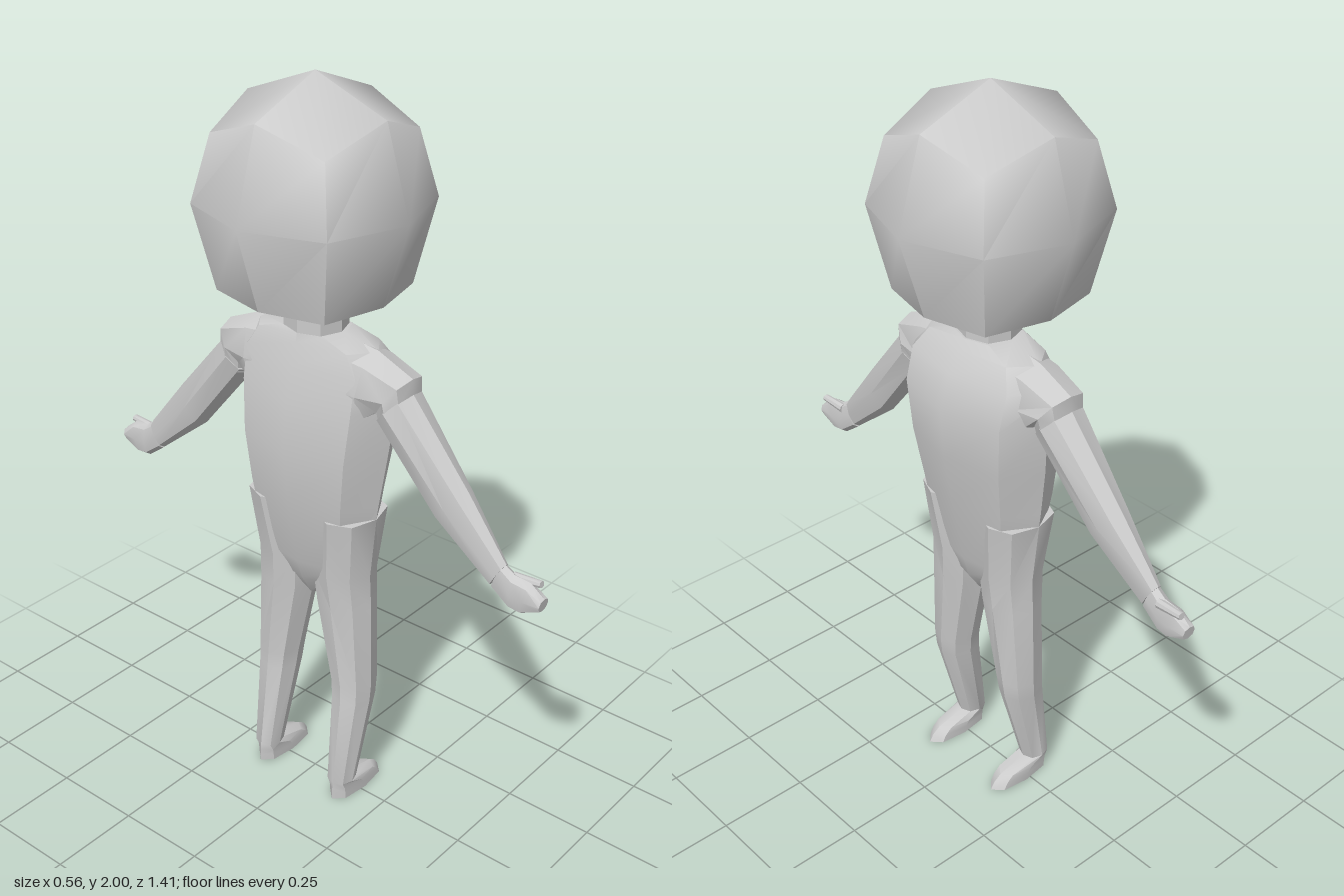
import * as THREE from 'three';
import { toCreasedNormals } from 'three/addons/utils/BufferGeometryUtils.js';

const material = new THREE.MeshStandardMaterial({ color: 0xcccccc });

// Eight-sided section between points a and b (each [y, z]), reaching from xb to xf; k is corner fullness.
function ring(a, b, xb, xf, k = 0.74) {
  const cy = (a[0] + b[0]) / 2, cz = (a[1] + b[1]) / 2, cx = (xb + xf) / 2;
  const hy = (b[0] - a[0]) / 2, hz = (b[1] - a[1]) / 2, hx = (xf - xb) / 2;
  const dirs = [[1, 0], [k, k], [0, 1], [-k, k], [-1, 0], [-k, -k], [0, -1], [k, -k]];
  return dirs.map(([u, v]) => [cx + hx * u, cy + hy * v, cz + hz * v]);
}

// Skin a series of rings, cap both ends with fans and turn all faces outward.
function loft(name, rings, crease, tips = []) {
  const n = rings[0].length, pts = rings.flat(), tris = [];
  for (let r = 0; r < rings.length - 1; r++) {
    for (let i = 0; i < n; i++) {
      const a = r * n + i, b = r * n + (i + 1) % n;
      tris.push([a, a + n, b], [b, a + n, b + n]);
    }
  }
  [0, rings.length - 1].forEach((r, end) => {
    const mid = tips[end] || [0, 1, 2].map((c) => rings[r].reduce((s, p) => s + p[c], 0) / n);
    const m = pts.push(mid) - 1;
    for (let i = 0; i < n; i++) {
      const a = r * n + i, b = r * n + (i + 1) % n;
      tris.push(end ? [a, m, b] : [b, m, a]);
    }
  });
  const v = pts.map((p) => new THREE.Vector3(...p));
  const volume = tris.reduce((s, [a, b, c]) => s + v[a].dot(v[b].clone().cross(v[c])), 0);
  if (volume < 0) tris.forEach((t) => t.reverse());
  const geometry = new THREE.BufferGeometry().setFromPoints(v);
  geometry.setIndex(tris.flat());
  const mesh = new THREE.Mesh(toCreasedNormals(geometry, crease), material);
  mesh.name = name;
  return mesh;
}

// Head ring alternating between axis and diagonal points.
function headRing(axisR, axisY, diagR, diagY) {
  return Array.from({ length: 8 }, (_, i) => {
    const t = i * Math.PI / 4, r = i % 2 ? diagR : axisR;
    return [r * Math.cos(t), i % 2 ? diagY : axisY, r * Math.sin(t)];
  });
}

export function createModel() {
  const group = new THREE.Group();

  // Head: rounded cube with a flatter underside
  group.add(loft('head', [
    headRing(0.08, 1.42, 0.08, 1.42),
    headRing(0.21, 1.47, 0.24, 1.47),
    headRing(0.28, 1.69, 0.296, 1.69),
    headRing(0.21, 1.92, 0.245, 1.86),
  ], 0.9, [null, [0, 2, 0]]));

  // Neck
  group.add(loft('neck', [1.33, 1.44].map((y) => ring([y, -0.08], [y, 0.08], -0.07, 0.08)), 0.6));

  // Torso: y, back x, front x, half width
  const torso = [
    [0.6, -0.02, 0.04, 0.02],
    [0.66, -0.055, 0.08, 0.1],
    [0.72, -0.075, 0.095, 0.172],
    [0.92, -0.112, 0.132, 0.2],
    [1.06, -0.125, 0.158, 0.22],
    [1.2, -0.112, 0.165, 0.235],
    [1.29, -0.09, 0.135, 0.235],
    [1.345, -0.075, 0.1, 0.19],
    [1.37, -0.07, 0.085, 0.09],
  ];
  group.add(loft('torso', torso.map(([y, b, f, w]) => ring([y, -w], [y, w], b, f)), 0.6));

  for (const s of [1, -1]) {
    const side = s > 0 ? 'left' : 'right';
    const limb = (name, rows, k) => loft(side + name,
      rows.map(([ay, az, by, bz, b, f]) => ring([ay, az * s], [by, bz * s], b, f, k)), 0.6);

    // Shoulder: upper y and z, lower y and z, back x, front x
    group.add(limb('Shoulder', [
      [1.365, 0.08, 1.15, 0.08, -0.075, 0.09],
      [1.35, 0.19, 1.15, 0.17, -0.07, 0.09],
      [1.305, 0.295, 1.2, 0.215, -0.058, 0.08],
      [1.255, 0.3, 1.17, 0.22, -0.052, 0.072],
    ]));

    // Arm and fist
    group.add(limb('Arm', [
      [1.27, 0.295, 1.18, 0.215, -0.055, 0.075],
      [1.06, 0.475, 0.97, 0.39, -0.038, 0.05],
      [0.91, 0.595, 0.84, 0.555, -0.02, 0.022],
    ]));
    group.add(limb('Hand', [
      [0.91, 0.59, 0.835, 0.56, -0.019, 0.022],
      [0.89, 0.62, 0.795, 0.615, -0.02, 0.026],
      [0.885, 0.665, 0.792, 0.645, -0.02, 0.028],
      [0.855, 0.704, 0.82, 0.7, -0.015, 0.026],
    ]));
    group.add(limb('Thumb', [
      [0.89, 0.61, 0.865, 0.61, 0, 0.026],
      [0.892, 0.685, 0.875, 0.688, 0.008, 0.028],
    ]));

    // Leg running down into the foot: y, inner z, outer z, back x, front x
    const leg = [
      [0.88, 0.03, 0.195, -0.09, 0.11],
      [0.7, 0.008, 0.176, -0.066, 0.09],
      [0.6, 0.018, 0.181, -0.057, 0.083],
      [0.36, 0.07, 0.187, -0.05, 0.072],
      [0.31, 0.076, 0.186, -0.052, 0.066],
      [0.055, 0.096, 0.17, -0.083, -0.005],
      [0.036, 0.095, 0.17, -0.085, 0.082],
      [0.02, 0.095, 0.17, -0.086, 0.105],
      [0, 0.095, 0.17, -0.086, 0.118],
    ];
    group.add(limb('Leg', leg.map(([y, zi, zo, b, f]) => [y, zi, y, zo, b, f])));
  }
  return group;
}
